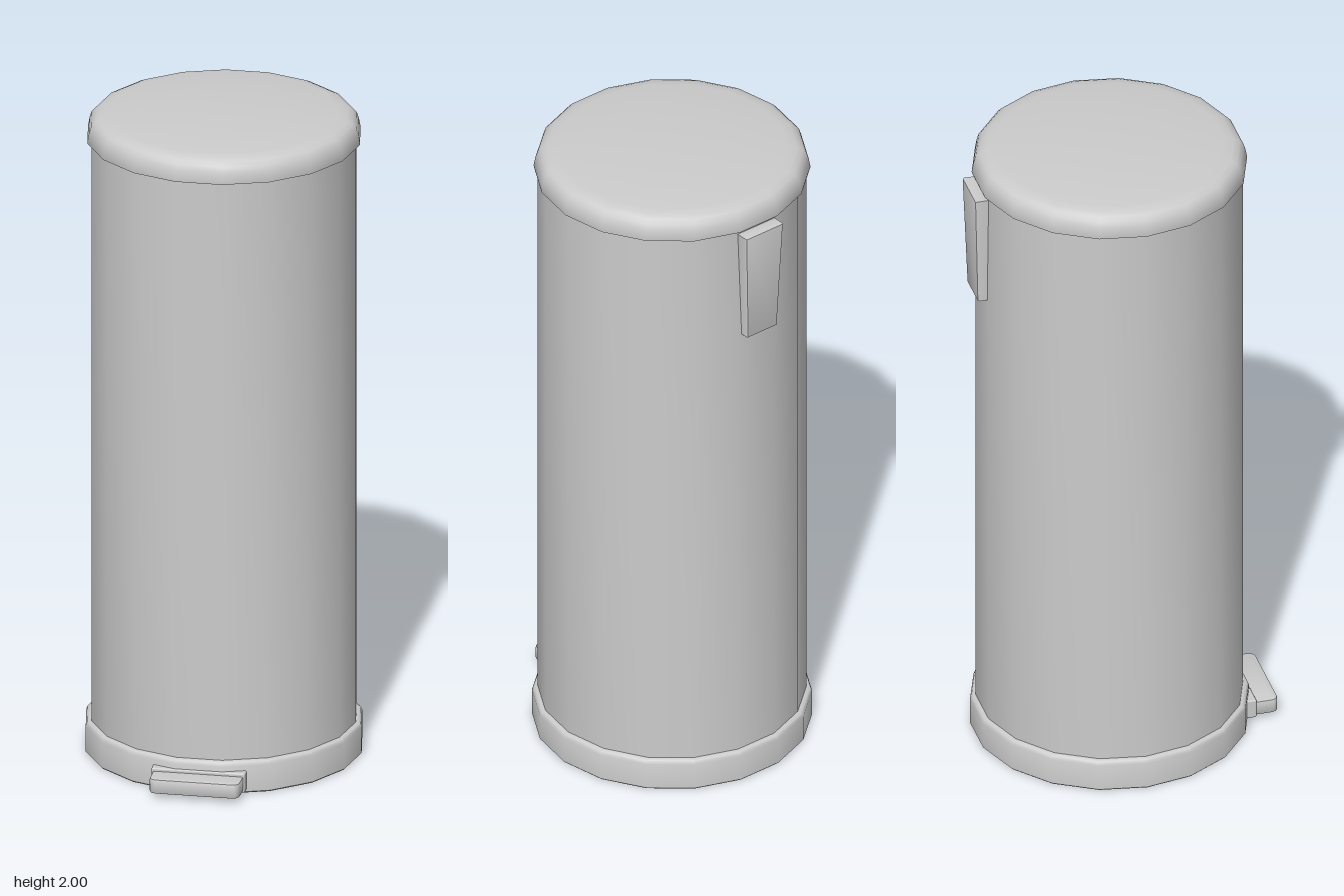
import * as THREE from 'three';
import { toCreasedNormals } from 'three/addons/utils/BufferGeometryUtils.js';
import { RoundedBoxGeometry } from 'three/addons/geometries/RoundedBoxGeometry.js';

const SIDES = 18;
const CENTRE_Z = -0.025;

export function createModel() {
  const group = new THREE.Group();
  const material = new THREE.MeshStandardMaterial({ color: 0xcccccc });

  const add = (name, geometry, x = 0, y = 0, z = 0) => {
    const mesh = new THREE.Mesh(geometry, material);
    mesh.name = name;
    mesh.position.set(x, y, z);
    group.add(mesh);
    return mesh;
  };

  // Eighteen-sided turned part, with a flat side facing front and back
  const turned = (name, profile) => {
    const points = profile.map(([r, y]) => new THREE.Vector2(r, y));
    const lathe = new THREE.LatheGeometry(points, SIDES, Math.PI / SIDES);
    add(name, toCreasedNormals(lathe, 0.65), 0, 0, CENTRE_Z);
  };

  // Base ring with a recessed underside
  turned('baseRing', [
    [0, 0.1], [0.382, 0.1], [0.382, 0.004], [0.386, 0], [0.408, 0],
    [0.412, 0.004], [0.412, 0.085], [0.408, 0.095], [0.4, 0.1], [0.39, 0.1],
  ]);

  // Tall drum
  turned('body', [[0.395, 0.09], [0.395, 1.925]]);

  // Lid with an overhanging lip, rounded shoulder and shallow dome
  turned('lid', [
    [0.385, 1.925], [0.396, 1.925], [0.396, 1.912], [0.406, 1.912], [0.407, 1.918],
    [0.402, 1.945], [0.396, 1.963], [0.385, 1.975], [0.368, 1.983],
    [0.34, 1.987], [0.2, 1.996], [0, 2],
  ]);

  // Foot pedal: plate with rounded front corners, coming out of a collar
  const w = 0.13, back = 0.3, front = 0.45, r = 0.02;
  const plate = new THREE.Shape();
  plate.moveTo(-w, -back);
  plate.lineTo(-w, -front + r);
  plate.quadraticCurveTo(-w, -front, -w + r, -front);
  plate.lineTo(w - r, -front);
  plate.quadraticCurveTo(w, -front, w, -front + r);
  plate.lineTo(w, -back);
  plate.closePath();
  const pedal = new THREE.ExtrudeGeometry(plate, {
    depth: 0.035, bevelThickness: 0.005, bevelSize: 0.005, bevelSegments: 2, curveSegments: 5,
  });
  pedal.rotateX(-Math.PI / 2);
  pedal.scale(1, 1, 1);
  add('pedal', toCreasedNormals(pedal, 0.7), 0, 0.02, 0);
  add('pedalCollar', new RoundedBoxGeometry(0.28, 0.06, 0.05, 2, 0.005), 0, 0.04, 0.361);

  // Hinge cover: tapered slab on the back, leaning outwards at the top
  const slab = new THREE.Shape([
    [-0.05, 1.552], [0.05, 1.552], [0.064, 1.895], [-0.064, 1.895],
  ].map(([x, y]) => new THREE.Vector2(x, y)));
  const hinge = new THREE.ExtrudeGeometry(slab, {
    depth: 0.045, bevelThickness: 0.006, bevelSize: 0.006, bevelSegments: 2,
  });
  const p = hinge.attributes.position;
  for (let i = 0; i < p.count; i++) {
    const lean = (p.getY(i) - 1.55) / 0.35 * 0.011;
    p.setZ(i, p.getZ(i) - 0.438 - lean);
  }
  add('hingeCover', toCreasedNormals(hinge, 0.7));

  return group;
}
